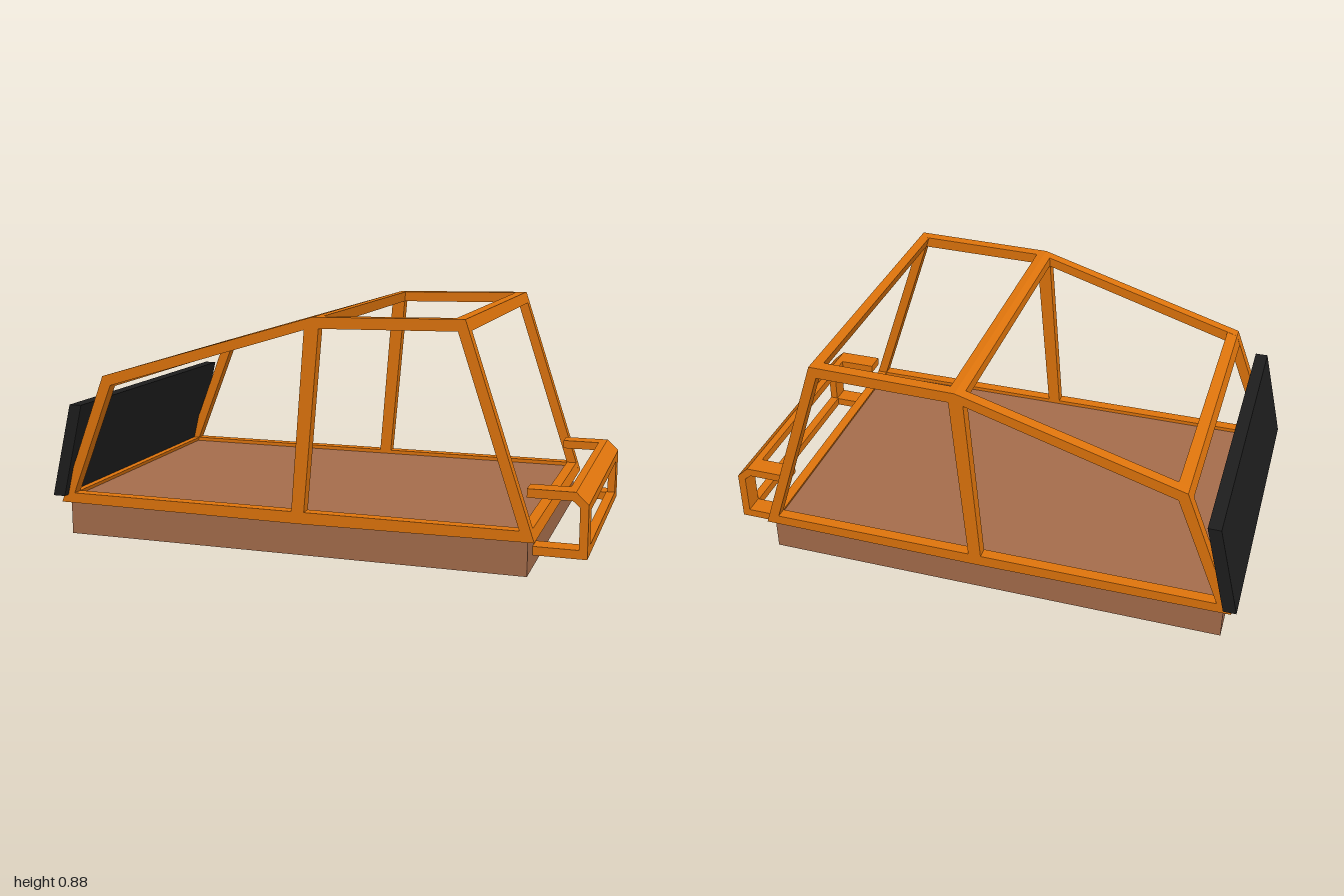
import * as THREE from 'three';

export function createModel() {
  const orange = new THREE.MeshStandardMaterial({ color: 0xe0750c });
  orange.name = 'orange tube';
  const brown = new THREE.MeshStandardMaterial({ color: 0xa66d4c });
  brown.name = 'brown floor';
  const black = new THREE.MeshStandardMaterial({ color: 0x1e1e1e });
  black.name = 'black panel';
  const group = new THREE.Group();

  // Extrude an x/y profile (with optional holes) between two z values
  const slab = (name, points, z0, z1, material, holes = []) => {
    const toVec = (list) => list.map(([x, y]) => new THREE.Vector2(x, y));
    const shape = new THREE.Shape(toVec(points));
    shape.holes = holes.map((h) => new THREE.Path(toVec(h)));
    const geo = new THREE.ExtrudeGeometry(shape, { depth: z1 - z0, bevelEnabled: false });
    geo.translate(0, 0, z0);
    const mesh = new THREE.Mesh(geo, material);
    mesh.name = name;
    group.add(mesh);
  };

  // Floor
  slab('floor', [[-0.95, 0], [0.81, 0], [0.81, 0.15], [-0.95, 0.15]], -0.56, 0.56, brown);

  // Cage sides: one outline with two openings
  const outline = [[-0.98, 0.127], [-0.02, 0.121], [0.835, 0.127], [0.585, 0.878], [0.04, 0.868], [-0.788, 0.622]];
  const openings = [
    [[-0.925, 0.165], [-0.757, 0.588], [0.01, 0.822], [-0.043, 0.165]],
    [[0.005, 0.165], [0.064, 0.828], [0.56, 0.836], [0.783, 0.165]],
  ];
  for (const [name, z0, z1] of [['leftCageSide', -0.58, -0.537], ['rightCageSide', 0.535, 0.578]]) {
    slab(name, outline, z0, z1, orange, openings);
  }

  // Cross bars joining the cage sides
  const bars = {
    lowRoofBar: [[-0.788, 0.622], [-0.803, 0.58], [-0.76, 0.58], [-0.747, 0.633]],
    midRoofBar: [[0.04, 0.868], [0.013, 0.86], [0.011, 0.825], [0.064, 0.828], [0.068, 0.8685]],
    highRoofBar: [[0.585, 0.878], [0.545, 0.877], [0.558, 0.836], [0.599, 0.836]],
    lowEndBar: [[-0.98, 0.127], [-0.937, 0.127], [-0.925, 0.165], [-0.966, 0.165]],
    highEndBar: [[0.795, 0.127], [0.835, 0.127], [0.822, 0.165], [0.783, 0.165]],
  };
  for (const [name, points] of Object.entries(bars)) slab(name, points, -0.537, 0.535, orange);

  // Leaning panel
  slab('endPanel', [[-1, 0.157], [-0.952, 0.157], [-0.867, 0.512], [-0.915, 0.512]], -0.605, 0.605, black);

  // Bumper: two bracket-shaped ends and two cross bars
  const bracket = [
    [0.785, 0.285], [0.785, 0.253], [0.945, 0.253], [0.97, 0.232], [0.97, 0.08], [0.81, 0.08],
    [0.81, 0.048], [1, 0.048], [1, 0.243], [0.955, 0.285],
  ];
  slab('bumperBracketBack', bracket, -0.48, -0.405, orange);
  slab('bumperBracketFront', bracket, 0.383, 0.458, orange);
  slab('bumperTopBar', [
    [0.927, 0.285], [0.927, 0.253], [0.945, 0.253], [0.97, 0.232], [0.97, 0.21], [1, 0.21], [1, 0.243], [0.955, 0.285],
  ], -0.405, 0.383, orange);
  slab('bumperLowBar', [[0.965, 0.048], [1, 0.048], [1, 0.082], [0.965, 0.082]], -0.405, 0.383, orange);

  return group;
}
